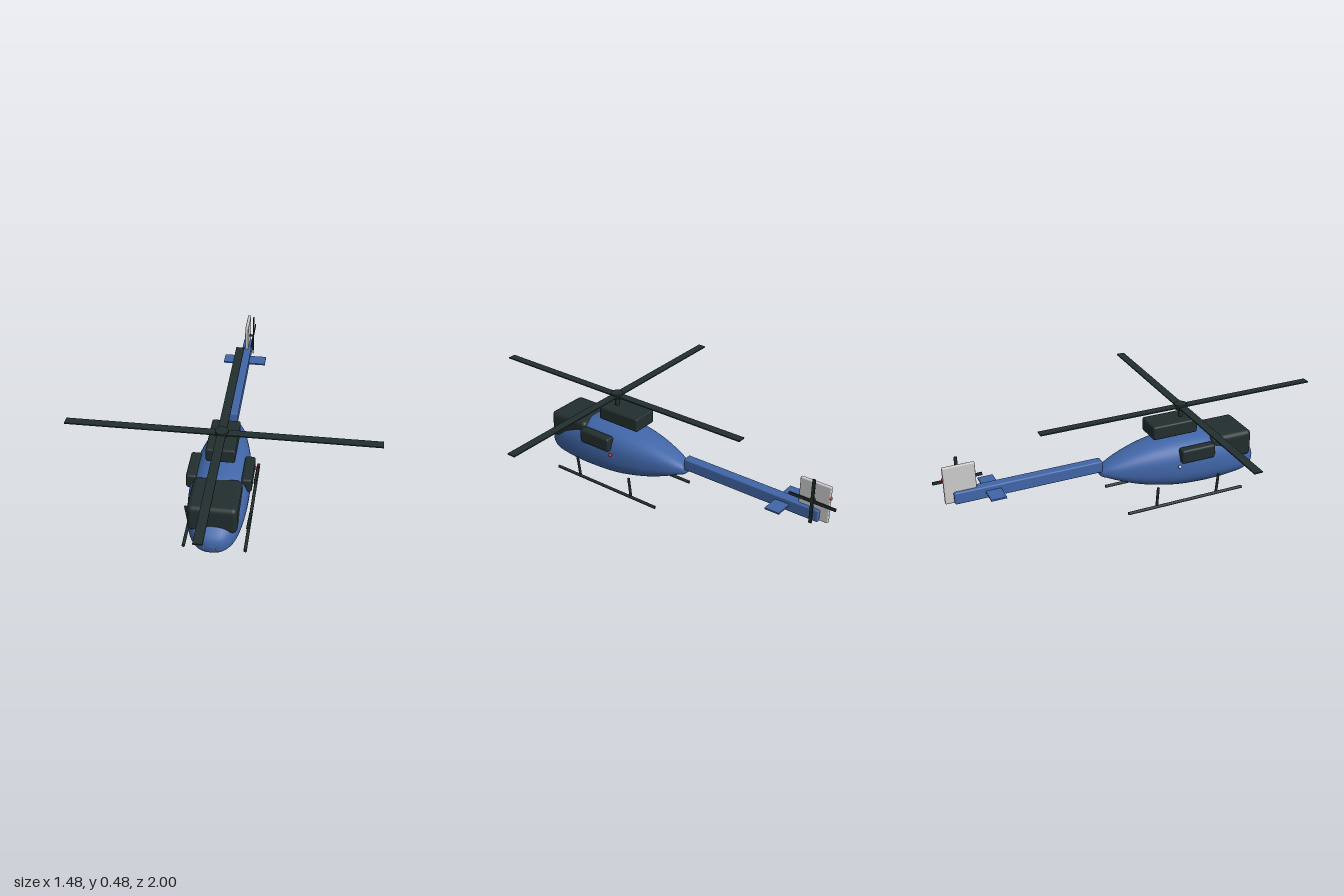
import * as THREE from 'three';
import { RoundedBoxGeometry } from 'three/addons/geometries/RoundedBoxGeometry.js';

const mat = (name, color) => {
  const m = new THREE.MeshStandardMaterial({ color });
  m.name = name;
  return m;
};

// Smooth superellipse hull lofted along z; stations are [z, bottom, top, halfWidth]
function hullGeometry(stations, rings = 64, sides = 40, power = 2.5) {
  const heights = new THREE.CatmullRomCurve3(stations.map(([z, b, t]) => new THREE.Vector3(z, b, t)));
  const widths = new THREE.CatmullRomCurve3(stations.map(([z, , , w]) => new THREE.Vector3(z, w, 0)));
  const bend = (v) => Math.sign(v) * Math.abs(v) ** (2 / power);
  const pos = [], index = [];
  for (let i = 0; i <= rings; i++) {
    const h = heights.getPoint(i / rings), w = widths.getPoint(i / rings).y;
    for (let j = 0; j < sides; j++) {
      const a = (j / sides) * Math.PI * 2;
      pos.push(w * bend(Math.cos(a)), (h.y + h.z) / 2 + ((h.z - h.y) / 2) * bend(Math.sin(a)), h.x);
    }
  }
  for (let i = 0; i < rings; i++) {
    for (let j = 0; j < sides; j++) {
      const a = i * sides + j, b = i * sides + ((j + 1) % sides);
      index.push(a, b, a + sides, b, b + sides, a + sides);
    }
  }
  // End caps
  const last = rings * sides;
  for (let j = 1; j < sides - 1; j++) index.push(0, j + 1, j, last, last + j, last + j + 1);
  const g = new THREE.BufferGeometry();
  g.setAttribute('position', new THREE.Float32BufferAttribute(pos, 3));
  g.setIndex(index);
  g.computeVertexNormals();
  return g;
}

export function createModel() {
  const blue = mat('blue paint', 0x4166a8);
  const dark = mat('dark trim', 0x222e2e);
  const grey = mat('light grey', 0xcccccc);
  const red = mat('red light', 0xd02828);

  const model = new THREE.Group();
  model.name = 'helicopter';

  const add = (name, geometry, material, x = 0, y = 0, z = 0, parent = model) => {
    const m = new THREE.Mesh(geometry, material);
    m.name = name;
    m.position.set(x, y, z);
    parent.add(m);
    return m;
  };
  const rounded = (w, h, d, r) => new RoundedBoxGeometry(w, h, d, 4, r);
  const rod = (name, from, to, r, parent) => {
    const a = new THREE.Vector3(...from), b = new THREE.Vector3(...to);
    const dir = b.clone().sub(a);
    const mid = a.clone().add(b).multiplyScalar(0.5);
    const m = add(name, new THREE.CylinderGeometry(r, r, dir.length(), 12), dark, mid.x, mid.y, mid.z, parent);
    m.quaternion.setFromUnitVectors(new THREE.Vector3(0, 1, 0), dir.normalize());
  };

  // Fuselage
  add('fuselage', hullGeometry([
    [-0.192, 0.19, 0.2, 0.004], [-0.18, 0.172, 0.212, 0.028], [-0.15, 0.16, 0.23, 0.048],
    [-0.1, 0.138, 0.252, 0.07], [0, 0.1, 0.285, 0.1], [0.1, 0.074, 0.306, 0.122],
    [0.2, 0.056, 0.317, 0.136], [0.3, 0.048, 0.319, 0.141], [0.4, 0.045, 0.309, 0.14],
    [0.5, 0.049, 0.275, 0.13], [0.58, 0.057, 0.232, 0.112], [0.62, 0.066, 0.203, 0.092],
    [0.65, 0.08, 0.178, 0.066], [0.663, 0.095, 0.16, 0.042], [0.67, 0.122, 0.132, 0.005],
  ]), blue);

  // Glazing and engine cover
  add('windshield', rounded(0.23, 0.142, 0.23, 0.025), dark, 0, 0.236, 0.5);
  for (const s of [-1, 1]) add('sideWindow', rounded(0.05, 0.074, 0.185, 0.012), dark, s * 0.13, 0.259, 0.29);
  add('engineCover', rounded(0.138, 0.072, 0.242, 0.01), dark, 0, 0.375, 0.2);

  // Tail
  add('tailBoom', rounded(0.05, 0.061, 0.74, 0.007), blue, 0, 0.231, -0.545);
  add('stabilizer', new THREE.BoxGeometry(0.23, 0.008, 0.075), blue, 0, 0.236, -0.73);
  add('tailFin', rounded(0.018, 0.19, 0.154, 0.005), grey, 0, 0.299, -0.88);

  // Main rotor
  const rotor = new THREE.Group();
  rotor.name = 'mainRotor';
  rotor.position.set(0, 0.467, 0.258);
  model.add(rotor);
  add('mast', new THREE.CylinderGeometry(0.011, 0.011, 0.07, 16), dark, 0, -0.03, 0, rotor);
  add('hub', new THREE.CylinderGeometry(0.031, 0.031, 0.026, 24), dark, 0, 0, 0, rotor);
  for (let i = 0; i < 4; i++) {
    const blade = add('blade', new THREE.BoxGeometry(0.742, 0.006, 0.042).translate(0.371, 0, 0), dark, 0, 0, 0, rotor);
    blade.rotation.y = (i * Math.PI) / 2;
  }

  // Tail rotor on the left of the fin
  const tailRotor = new THREE.Group();
  tailRotor.name = 'tailRotor';
  tailRotor.position.set(0.03, 0.306, -0.882);
  model.add(tailRotor);
  add('tailBlade', new THREE.BoxGeometry(0.006, 0.23, 0.015), dark, 0, 0, 0, tailRotor);
  add('tailBlade', new THREE.BoxGeometry(0.006, 0.015, 0.236), dark, 0, 0, 0, tailRotor);
  rod('tailRotorShaft', [-0.025, 0, 0], [0.003, 0, 0], 0.006, tailRotor);

  // Landing skids
  for (const s of [-1, 1]) {
    const skid = new THREE.Group();
    skid.name = 'skid';
    model.add(skid);
    rod('runner', [s * 0.146, 0.008, -0.092], [s * 0.146, 0.008, 0.55], 0.008, skid);
    for (const z of [0.065, 0.403]) rod('strut', [s * 0.141, 0.012, z], [s * 0.156, 0.122, z], 0.007, skid);
  }

  // Lights
  const bulb = new THREE.SphereGeometry(0.009, 14, 10);
  add('leftLight', bulb, red, 0.152, 0.212, 0.185);
  add('rightLight', bulb, grey, -0.152, 0.212, 0.185);
  add('tailLight', bulb, red, 0, 0.335, -0.955);
  for (const s of [-1, 1]) {
    add('headlight', new THREE.SphereGeometry(0.013, 14, 10), grey, s * 0.03, 0.118, 0.664).scale.set(0.3, 1, 0.6);
  }
  return model;
}
